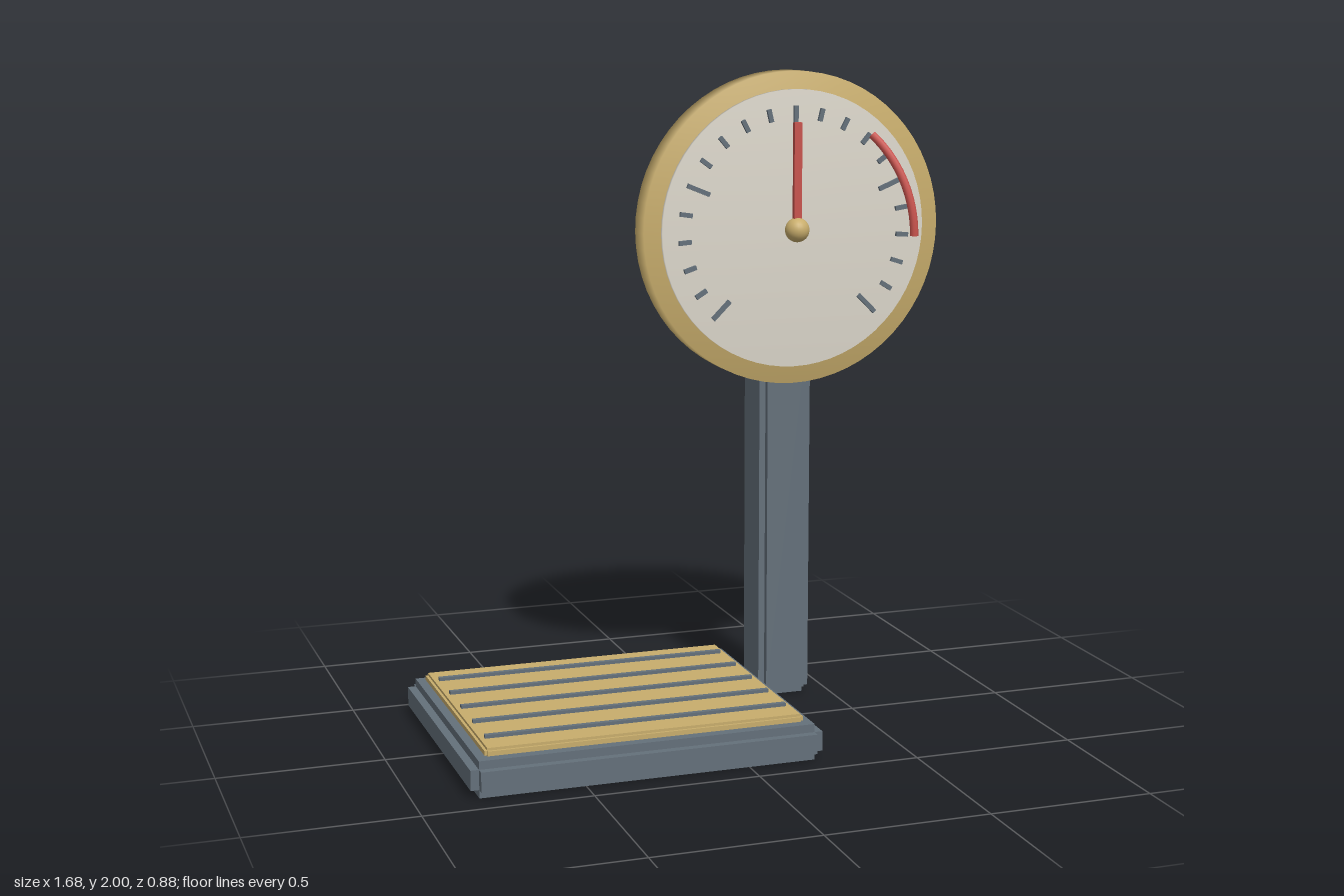
import * as THREE from 'three';
import { mergeVertices } from 'three/addons/utils/BufferGeometryUtils.js';

const material = (name, color) => {
  const m = new THREE.MeshStandardMaterial({ color });
  m.name = name;
  return m;
};

export function createModel() {
  const slate = material('slate', 0x64707a);
  const brass = material('brass', 0xc8ad6c);
  const ivory = material('ivory', 0xdcd7cb);
  const red = material('red', 0xc8524c);
  red.side = THREE.DoubleSide;

  const model = new THREE.Group();
  model.name = 'platformScale';

  const add = (parent, name, geometry, mat, x = 0, y = 0, z = 0) => {
    const mesh = new THREE.Mesh(geometry, mat);
    mesh.name = name;
    mesh.position.set(x, y, z);
    parent.add(mesh);
    return mesh;
  };

  // Block with stepped edges: three crossing boxes, each full size on one axis
  const steppedBlock = (name, mat, [w, h, d], step, [x, y, z]) => {
    const group = new THREE.Group();
    group.name = name;
    group.position.set(x, y, z);
    const s = 2 * step;
    for (const size of [[w, h - s, d - s], [w - s, h, d - s], [w - s, h - s, d]]) {
      add(group, name + 'Core', new THREE.BoxGeometry(...size), mat);
    }
    model.add(group);
  };

  // Disc facing +z with normals blended over the rim
  const softDisc = (radius, depth) => {
    const g = new THREE.CylinderGeometry(radius, radius, depth, 64);
    g.rotateX(Math.PI / 2);
    g.deleteAttribute('normal');
    g.deleteAttribute('uv');
    const merged = mergeVertices(g, 1e-4);
    merged.computeVertexNormals();
    return merged;
  };

  // Base, weighing plate and post
  steppedBlock('base', slate, [1.07, 0.11, 0.88], 0.025, [-0.305, 0.055, 0]);
  steppedBlock('plate', brass, [0.97, 0.03, 0.78], 0.008, [-0.305, 0.12, 0]);
  steppedBlock('post', slate, [0.17, 1.17, 0.175], 0.02, [0.35, 0.585, -0.2925]);

  // Grip strips across the plate
  for (let i = -2; i <= 2; i++) {
    add(model, 'gripStrip', new THREE.BoxGeometry(0.925, 0.014, 0.016), slate, -0.305, 0.138, i * 0.146);
  }

  // Dial head
  const dial = new THREE.Group();
  dial.name = 'dial';
  dial.position.set(0.35, 1.515, 0);
  model.add(dial);
  add(dial, 'dialCase', softDisc(0.485, 0.087), brass, 0, 0, -0.2065);
  add(dial, 'dialFace', softDisc(0.43, 0.02), ivory, 0, 0, -0.159);

  // Scale ticks, every fifth one long
  for (let i = 0; i <= 20; i++) {
    const angle = THREE.MathUtils.degToRad(-135 + i * 13.5);
    const length = i % 5 === 0 ? 0.077 : 0.04;
    const r = 0.38 - length / 2;
    const tick = add(dial, 'tick', new THREE.BoxGeometry(0.014, length, 0.01), slate,
      Math.sin(angle) * r, Math.cos(angle) * r, -0.144);
    tick.rotation.z = -angle;
  }

  // Needle and hub
  add(dial, 'needle', new THREE.BoxGeometry(0.025, 0.33, 0.015), red, 0, 0.165, -0.128);
  add(dial, 'hub', new THREE.SphereGeometry(0.038, 24, 16), brass, 0, 0, -0.127);

  // Curved red marker standing out in front of the dial
  const arc = add(dial, 'redArc',
    new THREE.TorusGeometry(0.39, 0.013, 10, 32, THREE.MathUtils.degToRad(50)), red, 0, 0, -0.14);
  arc.rotation.y = -Math.PI / 4;

  return model;
}
